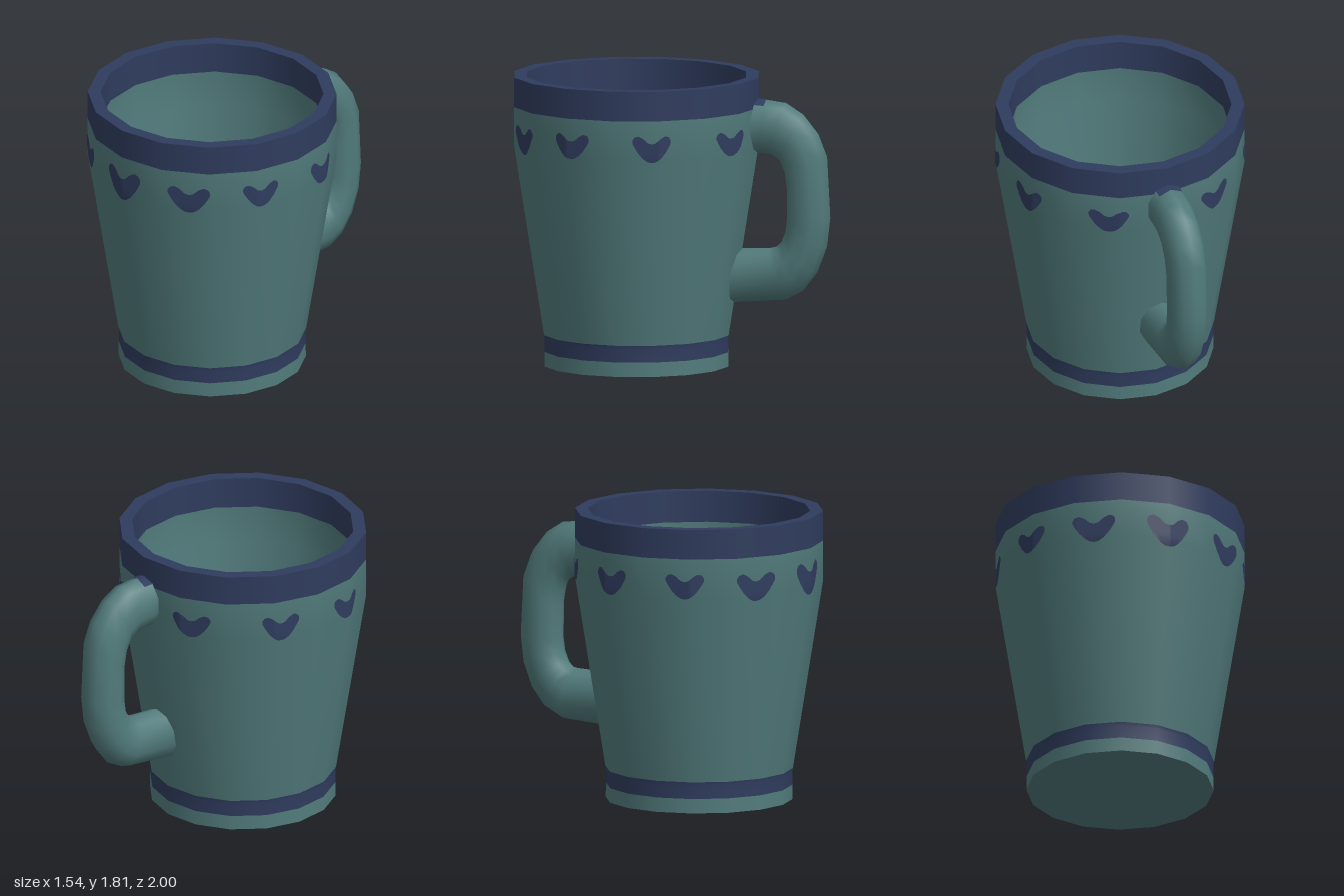
import * as THREE from 'three';

const SIDES = 16, CENTER_Z = 0.225;
const RIM_Y = 1.81, BAND_Y = 1.625, KINK_Y = 1.38;

// Outer wall radius at height y
const wallRadius = y => y >= KINK_Y ? 0.77 : 0.578 + Math.max(0, (y - 0.17) / (KINK_Y - 0.17)) * 0.192;

// Point on the faceted outer wall, lifted slightly for painted details
function wallPoint(angle, y, lift) {
  const step = Math.PI * 2 / SIDES;
  const local = ((angle % step) + step) % step - step / 2;
  const r = wallRadius(y) * Math.cos(step / 2) / Math.cos(local) + lift;
  return [Math.sin(angle) * r, y, Math.cos(angle) * r];
}

// Grid surface with rows x cols points given by fn(row, col)
function gridGeometry(rows, cols, fn, closed = false) {
  const pos = [], index = [];
  for (let i = 0; i < rows; i++) for (let k = 0; k < cols; k++) pos.push(...fn(i, k));
  for (let i = 0; i < rows - 1; i++) {
    for (let k = 0; k < (closed ? cols : cols - 1); k++) {
      const k2 = (k + 1) % cols;
      const a = i * cols + k, b = i * cols + k2, c = b + cols, d = a + cols;
      index.push(a, b, d, b, c, d);
    }
  }
  const g = new THREE.BufferGeometry();
  g.setAttribute('position', new THREE.Float32BufferAttribute(pos, 3));
  g.setIndex(index);
  g.computeVertexNormals();
  return g;
}

// Half heart outline: [distance from middle, top, bottom], all 0..1
const HEART = [[0, 0.7, 0], [0.2, 0.74, 0.02], [0.45, 0.91, 0.14], [0.7, 1, 0.35], [0.9, 0.96, 0.58], [1, 0.85, 0.72]];
function heartAt(t, column) {
  const i = Math.max(1, HEART.findIndex(p => p[0] >= t - 1e-6));
  const a = HEART[i - 1], b = HEART[i];
  return THREE.MathUtils.lerp(a[column], b[column], (t - a[0]) / (b[0] - a[0]));
}

function heartGeometry(angle, halfWidth, y0, height) {
  const cols = 21, rows = 6;
  return gridGeometry(rows, cols, (i, k) => {
    const t = k / (cols - 1) * 2 - 1, s = Math.abs(t);
    const v = THREE.MathUtils.lerp(heartAt(s, 2), heartAt(s, 1), i / (rows - 1));
    return wallPoint(angle + t * halfWidth, y0 + v * height, 0.005);
  });
}

// Handle stations: outer edge z, y and inner edge z, y
const HANDLE = [
  [-0.5, 1.682, -0.5, 1.345], [-0.595, 1.676, -0.58, 1.342], [-0.72, 1.66, -0.625, 1.335],
  [-0.83, 1.59, -0.68, 1.3], [-0.925, 1.47, -0.71, 1.23], [-0.98, 1.33, -0.725, 1.13],
  [-1.0, 0.95, -0.725, 0.92], [-0.98, 0.77, -0.715, 0.85], [-0.92, 0.61, -0.69, 0.79],
  [-0.83, 0.49, -0.66, 0.76], [-0.72, 0.43, -0.62, 0.75], [-0.36, 0.403, -0.36, 0.74],
];
const HANDLE_SIDES = 10, HANDLE_HALF = 0.126;
function handlePoint(i, k, scale = 1) {
  const [oz, oy, iz, iy] = HANDLE[i];
  const a = k / HANDLE_SIDES * Math.PI * 2, c = Math.cos(a) * scale / 2;
  return [Math.sin(a) * HANDLE_HALF * scale, (oy + iy) / 2 + (oy - iy) * c, (oz + iz) / 2 + (oz - iz) * c];
}

export function createModel() {
  const teal = new THREE.MeshStandardMaterial({ color: 0x517a7b });
  teal.name = 'teal glaze';
  const navy = new THREE.MeshStandardMaterial({ color: 0x2f3c5e });
  navy.name = 'navy glaze';

  const model = new THREE.Group();
  model.name = 'mug';
  const cup = new THREE.Group();
  cup.name = 'cup';
  cup.position.z = CENTER_Z;
  model.add(cup);

  const add = (parent, name, geometry, material) => {
    const mesh = new THREE.Mesh(geometry, material);
    mesh.name = name;
    parent.add(mesh);
    return mesh;
  };
  const turn = (name, material, ...points) => add(cup, name,
    new THREE.LatheGeometry(points.map(p => new THREE.Vector2(...p)), SIDES), material);

  // Outside of the cup, from the base up
  turn('base', teal, [0, 0], [0.58, 0]);
  turn('foot', teal, [0.58, 0], [0.578, 0.09]);
  turn('footBand', navy, [0.578, 0.09], [0.578, 0.17], [wallRadius(0.195), 0.195]);
  turn('outerWall', teal, [wallRadius(0.195), 0.195], [0.77, KINK_Y], [0.77, BAND_Y]);
  turn('rimBand', navy, [0.77, BAND_Y], [0.77, RIM_Y]);

  // Rim and inside of the cup, from the top down
  turn('rimTop', navy, [0.77, RIM_Y], [0.69, RIM_Y]);
  turn('innerBand', navy, [0.69, RIM_Y], [0.69, BAND_Y - 0.01]);
  turn('innerWall', teal, [0.69, BAND_Y - 0.01], [0.69, KINK_Y], [0.52, 0.17]);
  turn('floor', teal, [0.52, 0.17], [0, 0.17]);

  // Painted hearts around the wall: angle, half width (degrees), bottom, height
  const rad = THREE.MathUtils.degToRad;
  add(cup, 'frontHeart', heartGeometry(0, rad(10.5), 1.335, 0.205), navy);
  for (const [angle, half, y, h] of [[35.5, 10, 1.35, 0.175], [70, 9, 1.375, 0.155], [109, 9, 1.365, 0.165], [152, 9.5, 1.37, 0.155]]) {
    for (const side of [1, -1]) {
      add(cup, side > 0 ? 'leftHeart' : 'rightHeart', heartGeometry(rad(angle) * side, rad(half), y, h), navy);
    }
  }

  // Handle with its inner end cap and the painted patch at its upper root
  const handle = new THREE.Group();
  handle.name = 'handle';
  model.add(handle);
  add(handle, 'handleLoop', gridGeometry(HANDLE.length, HANDLE_SIDES, (i, k) => handlePoint(i, k), true), teal);
  const cap = add(handle, 'handleEnd', new THREE.CircleGeometry(1, HANDLE_SIDES, -Math.PI / 2), teal);
  cap.scale.set(HANDLE_HALF, 0.168, 1);
  cap.position.set(0, 0.5715, -0.36);
  add(handle, 'handlePatch', gridGeometry(2, 3, (i, k) => handlePoint(i, k - 1, 1.025)), navy);

  return model;
}
